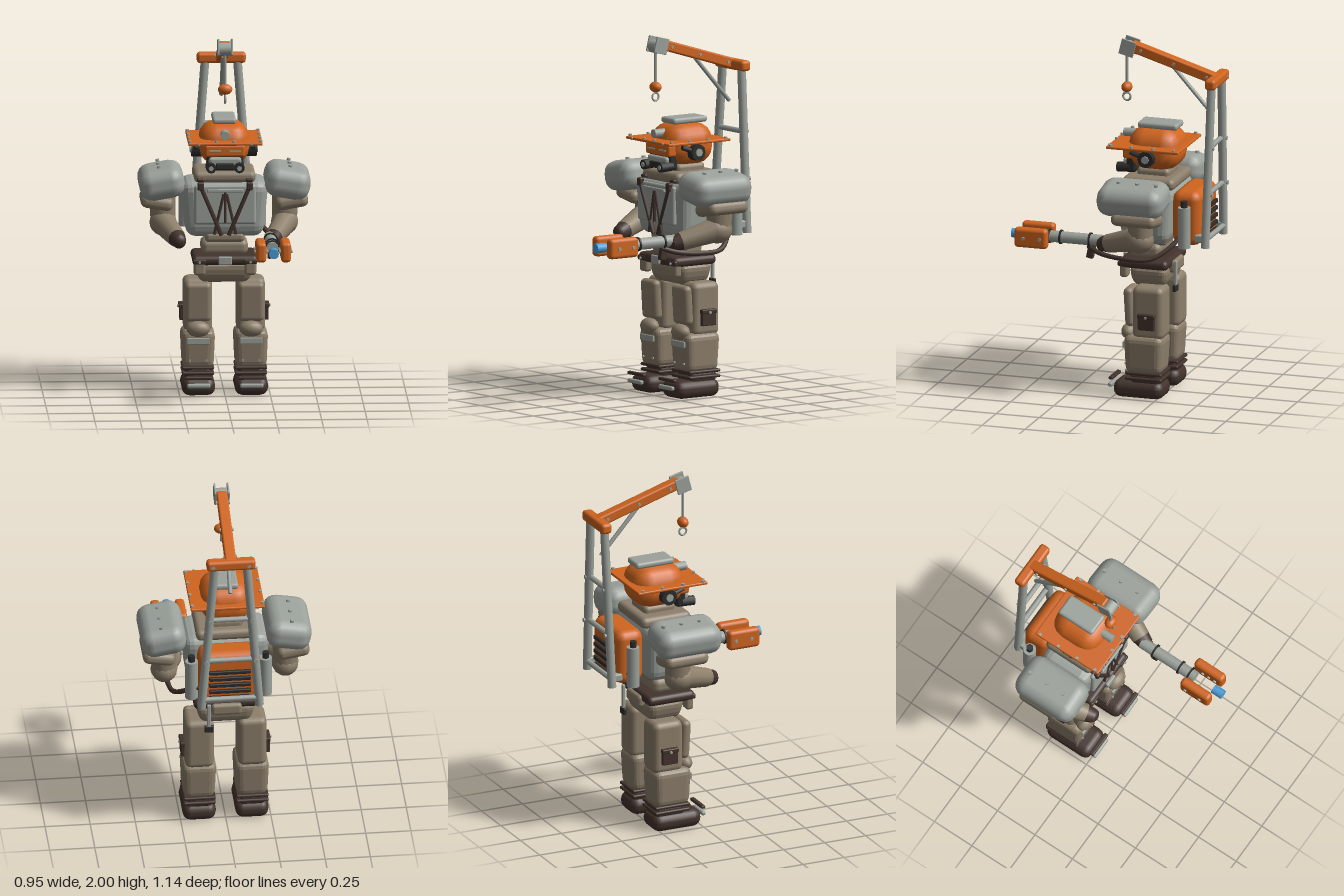
import * as THREE from 'three';
import { RoundedBoxGeometry } from 'three/addons/geometries/RoundedBoxGeometry.js';

const colour = (name, color) => {
  const m = new THREE.MeshStandardMaterial({ color });
  m.name = name;
  return m;
};
const orange = colour('safety orange', 0xd0651f);
const grey = colour('steel grey', 0x9ca29c);
const taupe = colour('taupe cloth', 0x8d7f6b);
const brown = colour('dark brown leather', 0x43332d);
const black = colour('black rubber', 0x2d2c2b);
const blue = colour('blue nozzle', 0x4d9fd8);

const V = (x, y, z) => new THREE.Vector3(x, y, z);

function add(parent, name, geometry, material, p = [0, 0, 0], rot = [0, 0, 0]) {
  const m = new THREE.Mesh(geometry, material);
  m.name = name;
  m.position.set(...p);
  m.rotation.set(...rot);
  parent.add(m);
  return m;
}

// Rounded block; taper scales the bottom relative to the top
function block(parent, name, mat, size, p, r = 0.02, rot, taper = 1) {
  const g = new RoundedBoxGeometry(...size, 2, Math.min(r, Math.min(...size) * 0.49));
  if (taper !== 1) {
    const a = g.attributes.position;
    for (let i = 0; i < a.count; i++) {
      const k = THREE.MathUtils.lerp(taper, 1, a.getY(i) / size[1] + 0.5);
      a.setX(i, a.getX(i) * k);
      a.setZ(i, a.getZ(i) * k);
    }
    g.computeVertexNormals();
  }
  return add(parent, name, g, mat, p, rot);
}

// Cylinder running between two points
function rod(parent, name, mat, a, b, r0, r1 = r0, sides = 12) {
  const A = V(...a), B = V(...b), d = B.clone().sub(A);
  const m = add(parent, name, new THREE.CylinderGeometry(r1, r0, d.length(), sides), mat);
  m.position.copy(A).add(B).multiplyScalar(0.5);
  m.quaternion.setFromUnitVectors(V(0, 1, 0), d.normalize());
  return m;
}

function bolt(parent, p, axis = [0, 1, 0], r = 0.01) {
  const a = axis.map((k, i) => p[i] - k * 0.007), b = axis.map((k, i) => p[i] + k * 0.007);
  return rod(parent, 'bolt', grey, a, b, r, r, 6);
}

function ball(parent, name, mat, p, s) {
  const m = add(parent, name, new THREE.SphereGeometry(1, 14, 10), mat, p);
  m.scale.set(...s);
  return m;
}

function group(parent, name) {
  const g = new THREE.Group();
  g.name = name;
  parent.add(g);
  return g;
}

function buildLeg(root, s) {
  const g = group(root, s > 0 ? 'leftLeg' : 'rightLeg');
  const x = 0.146 * s;
  block(g, 'boot', brown, [0.185, 0.1, 0.29], [x, 0.05, -0.145], 0.045);
  block(g, 'bootAnkle', brown, [0.15, 0.08, 0.18], [x, 0.115, -0.185], 0.03);
  for (const y of [0.115, 0.145]) block(g, 'bootBand', brown, [0.178, 0.018, 0.21], [x, y, -0.18], 0.008);
  block(g, 'toeStrap', brown, [0.15, 0.018, 0.025], [x, 0.105, 0.012], 0.006);
  block(g, 'toeBar', grey, [0.13, 0.025, 0.025], [x, 0.063, 0.02], 0.01);
  block(g, 'shin', taupe, [0.19, 0.22, 0.23], [x, 0.25, -0.175], 0.04, undefined, 0.9);
  block(g, 'shinPlate', grey, [0.125, 0.035, 0.012], [x, 0.3, -0.058], 0.004);
  for (const d of [-0.045, 0.045]) bolt(g, [x + d, 0.19, -0.068], [0, 0, 1], 0.007);
  ball(g, 'knee', taupe, [x, 0.365, -0.075], [0.066, 0.045, 0.045]);
  block(g, 'thigh', taupe, [0.16, 0.3, 0.18], [x, 0.49, -0.2], 0.035);
  block(g, 'thighPad', taupe, [0.145, 0.22, 0.055], [x, 0.515, -0.088], 0.026, [0.06, 0, 0]);
  block(g, 'thighPocket', brown, [0.03, 0.09, 0.095], [x + 0.085 * s, 0.445, -0.2], 0.006);
  block(g, 'pocketFlap', brown, [0.035, 0.025, 0.1], [x + 0.087 * s, 0.48, -0.2], 0.006);
  bolt(g, [x + 0.105 * s, 0.475, -0.2], [1, 0, 0], 0.008);
}

function buildArm(root, s) {
  const g = group(root, s > 0 ? 'leftArm' : 'rightArm');
  const p = group(g, 'shoulderArmour');
  p.position.set(0.347 * s, 1.183, -0.163);
  p.rotation.z = -0.17 * s;
  block(p, 'shoulderPad', grey, [0.25, 0.17, 0.385], [0, 0, 0], 0.07);
  for (const z of [-0.135, -0.027, 0.082]) bolt(p, [0, 0.089, z], [0, 1, 0], 0.012);
  block(g, 'upperArmPad', taupe, [0.18, 0.075, 0.26], [0.372 * s, 1.07, -0.19], 0.034, [0, 0, 0.17 * s]);
  rod(g, 'upperArm', taupe, [0.34 * s, 1.12, -0.2], [0.335 * s, 0.95, -0.2], 0.075, 0.068);
  ball(g, 'elbow', taupe, [0.335 * s, 0.945, -0.19], [0.075, 0.075, 0.085]);
  rod(g, 'forearm', taupe, [0.335 * s, 0.945, -0.17], [0.268 * s, 0.89, 0.01], 0.068, 0.052);
  rod(g, 'glove', brown, [0.272 * s, 0.893, 0], [0.255 * s, 0.878, 0.055], 0.052, 0.04);
  ball(g, 'fist', brown, [0.257 * s, 0.88, 0.05], [0.04, 0.042, 0.03]);
}

function buildTorso(root) {
  const g = group(root, 'torso');
  block(g, 'pelvis', taupe, [0.34, 0.12, 0.23], [0, 0.68, -0.18], 0.045, undefined, 0.82);
  block(g, 'belt', brown, [0.36, 0.055, 0.285], [0, 0.755, -0.158], 0.025);
  block(g, 'buckle', grey, [0.075, 0.045, 0.02], [0, 0.757, -0.012], 0.006);
  block(g, 'waist', taupe, [0.26, 0.09, 0.18], [0, 0.82, -0.155], 0.035);
  block(g, 'midriff', taupe, [0.22, 0.06, 0.22], [0, 0.88, -0.16], 0.025);
  for (const s of [-1, 1]) {
    block(g, 'beltPouch', taupe, [0.065, 0.085, 0.045], [0.14 * s, 0.715, -0.045], 0.015);
    block(g, 'pouchFlap', brown, [0.075, 0.03, 0.05], [0.14 * s, 0.75, -0.037], 0.01);
    bolt(g, [0.14 * s, 0.748, -0.012], [0, 0, 1], 0.008);
  }
  block(g, 'rearPouch', taupe, [0.17, 0.07, 0.06], [0, 0.73, -0.29], 0.02);
  block(g, 'toolHandle', grey, [0.022, 0.15, 0.018], [0.1, 0.7, -0.325], 0.006);
  block(g, 'toolHead', black, [0.05, 0.04, 0.02], [0.1, 0.62, -0.325], 0.006);
  block(g, 'chest', grey, [0.485, 0.315, 0.31], [0, 1.04, -0.175], 0.06, undefined, 0.88);
  block(g, 'chestPlate', grey, [0.34, 0.22, 0.03], [0, 1.07, -0.022], 0.014);
  block(g, 'collar', taupe, [0.34, 0.065, 0.3], [0, 1.218, -0.185], 0.028);
  block(g, 'neck', taupe, [0.19, 0.06, 0.19], [0, 1.26, -0.19], 0.025);
  // Harness meeting at the belly
  for (const s of [-1, 1]) {
    rod(g, 'harnessStrap', brown, [0.14 * s, 1.185, -0.005], [0.02 * s, 0.9, -0.012], 0.013, 0.013, 6);
    block(g, 'strapBuckle', brown, [0.035, 0.045, 0.03], [0.135 * s, 1.175, -0.005], 0.008);
    block(g, 'shoulderStrap', brown, [0.04, 0.02, 0.28], [0.135 * s, 1.205, -0.16], 0.008);
    rod(g, 'innerStrap', brown, [0.008 * s, 1.13, -0.006], [0.06 * s, 0.905, -0.01], 0.009, 0.009, 6);
  }
  rod(g, 'centreStrap', brown, [0, 1.14, -0.004], [0, 0.97, -0.004], 0.009, 0.009, 6);
  block(g, 'chestBar', grey, [0.2, 0.018, 0.015], [0, 1.15, 0], 0.005);
}

function buildHead(root) {
  const g = group(root, 'head');
  block(g, 'helmet', orange, [0.28, 0.235, 0.305], [0, 1.392, -0.19], 0.1);
  block(g, 'brim', orange, [0.41, 0.016, 0.42], [0, 1.417, -0.165], 0.006);
  block(g, 'crestPlate', grey, [0.13, 0.035, 0.23], [0, 1.522, -0.205], 0.015);
  for (const s of [-1, 1]) {
    for (const z of [0.02, -0.1, -0.225, -0.345]) bolt(g, [0.195 * s, 1.428, z], [0, 1, 0], 0.01);
    bolt(g, [0.048 * s, 1.428, 0.032], [0, 1, 0], 0.01);
    bolt(g, [0.145 * s, 1.418, 0.043], [0, 0, 1], 0.008);
    rod(g, 'earCup', black, [0.125 * s, 1.358, -0.175], [0.18 * s, 1.358, -0.175], 0.046, 0.046, 10);
    rod(g, 'earCap', grey, [0.18 * s, 1.358, -0.175], [0.188 * s, 1.358, -0.175], 0.022, 0.022, 8);
    rod(g, 'earArm', black, [0.16 * s, 1.358, -0.175], [0.155 * s, 1.39, -0.08], 0.014, 0.014, 6);
    block(g, 'visorSlit', grey, [0.065, 0.01, 0.006], [0.055 * s, 1.368, -0.018], 0.002);
    rod(g, 'filterCan', black, [0.08 * s, 1.282, -0.06], [0.078 * s, 1.278, 0.018], 0.028, 0.028, 10);
    rod(g, 'filterCap', grey, [0.078 * s, 1.278, 0.016], [0.078 * s, 1.278, 0.022], 0.014, 0.014, 8);
  }
  block(g, 'face', black, [0.2, 0.13, 0.06], [0, 1.32, -0.065], 0.02);
  block(g, 'visor', orange, [0.22, 0.065, 0.06], [0, 1.368, -0.05], 0.012);
  block(g, 'respirator', grey, [0.18, 0.055, 0.06], [0, 1.305, -0.045], 0.015);
  block(g, 'grille', black, [0.1, 0.035, 0.02], [0, 1.285, -0.012], 0.006);
  rod(g, 'headLamp', grey, [0, 1.458, -0.08], [0, 1.458, 0.005], 0.024, 0.024, 12);
}

function buildBackpack(root) {
  const g = group(root, 'backpack');
  block(g, 'packBody', orange, [0.34, 0.31, 0.165], [0, 1.035, -0.403], 0.05);
  for (let i = 0; i < 5; i++) block(g, 'louvre', black, [0.23, 0.022, 0.03], [0, 0.92 + i * 0.04, -0.487], 0.005);
  for (const s of [-1, 1]) {
    const x = 0.205 * s;
    rod(g, 'sideTank', grey, [x, 0.885, -0.41], [x, 1.115, -0.41], 0.036);
    rod(g, 'tankCap', black, [x, 1.11, -0.41], [x, 1.15, -0.41], 0.02, 0.02, 6);
    block(g, 'tankBracket', black, [0.06, 0.02, 0.05], [0.18 * s, 0.95, -0.41], 0.005);
  }
}

function buildCrane(root) {
  const g = group(root, 'crane');
  const mastX = y => 0.16 - 0.078 * (y - 0.88);
  for (const s of [-1, 1]) {
    rod(g, 'mast', grey, [mastX(0.88) * s, 0.88, -0.517], [mastX(1.79) * s, 1.79, -0.53], 0.024);
    for (const y of [1.18, 1.44]) bolt(g, [mastX(y) * s, y, -0.546], [0, 0, 1], 0.012);
    block(g, 'mastFoot', grey, [0.04, 0.045, 0.07], [0.15 * s, 0.93, -0.49], 0.01);
    bolt(g, [0.1 * s, 1.8, -0.562 + 0.005], [0, 0, 1], 0.012);
  }
  for (const y of [0.93, 1.18, 1.44]) rod(g, 'rung', grey, [-mastX(y), y, -0.522], [mastX(y), y, -0.522], 0.015, 0.015, 8);
  block(g, 'crossBeam', orange, [0.27, 0.06, 0.062], [0, 1.803, -0.533], 0.018);
  block(g, 'boom', orange, [0.06, 0.058, 0.53], [0, 1.878, -0.29], 0.01, [-0.295, 0, 0]);
  for (const s of [-1, 1]) {
    for (const t of [-0.2, 0, 0.2]) bolt(g, [0.031 * s, 1.878 + t * 0.29, -0.29 + t * 0.956], [1, 0, 0], 0.009);
    block(g, 'pulleyCheek', grey, [0.01, 0.09, 0.085], [0.037 * s, 1.948, -0.025], 0.003, [-0.25, 0, 0]);
  }
  rod(g, 'pulley', grey, [-0.032, 1.94, -0.015], [0.032, 1.94, -0.015], 0.036, 0.036, 14);
  rod(g, 'strut', grey, [0, 1.6, -0.51], [0, 1.855, -0.28], 0.012, 0.012, 8);
  rod(g, 'cable', grey, [0, 1.93, -0.01], [0, 1.73, -0.01], 0.008, 0.008, 8);
  ball(g, 'hookBlock', orange, [0, 1.716, -0.01], [0.04, 0.03, 0.03]);
  add(g, 'hookRing', new THREE.TorusGeometry(0.022, 0.006, 6, 16), grey, [0, 1.662, -0.01], [0, Math.PI / 2, 0]);
}

function buildCutter(root) {
  const g = group(root, 'cutterTool');
  const x = 0.245, y = 0.895;
  rod(g, 'barrel', grey, [x, y, 0.03], [x, y, 0.39], 0.033);
  for (const z of [0.12, 0.29, 0.355]) rod(g, 'barrelRing', black, [x, y, z - 0.005], [x, y, z + 0.005], 0.041);
  rod(g, 'nozzle', blue, [x, y, 0.51], [x, y, 0.574], 0.027);
  for (const s of [-1, 1]) {
    block(g, 'jaw', orange, [0.055, 0.112, 0.19], [x + 0.068 * s, y, 0.44], 0.02);
    for (const z of [0.41, 0.45, 0.49]) bolt(g, [x + 0.038 * s, y, z], [1, 0, 0], 0.01);
    for (const z of [0.385, 0.48]) bolt(g, [x + 0.097 * s, y, z], [1, 0, 0], 0.01);
  }
  block(g, 'grip', brown, [0.035, 0.09, 0.04], [x, 0.835, 0.115], 0.008, [-0.2, 0, 0]);
  const path = new THREE.CatmullRomCurve3([
    V(0.25, 0.86, 0.13), V(0.29, 0.835, 0.05), V(0.31, 0.82, -0.1),
    V(0.29, 0.825, -0.24), V(0.23, 0.88, -0.33), V(0.17, 0.94, -0.38)]);
  add(g, 'hose', new THREE.TubeGeometry(path, 28, 0.014, 8), brown);
}

export function createModel() {
  const root = new THREE.Group();
  root.name = 'rescueRobot';
  for (const s of [-1, 1]) {
    buildLeg(root, s);
    buildArm(root, s);
  }
  buildTorso(root);
  buildHead(root);
  buildBackpack(root);
  buildCrane(root);
  buildCutter(root);
  return root;
}
